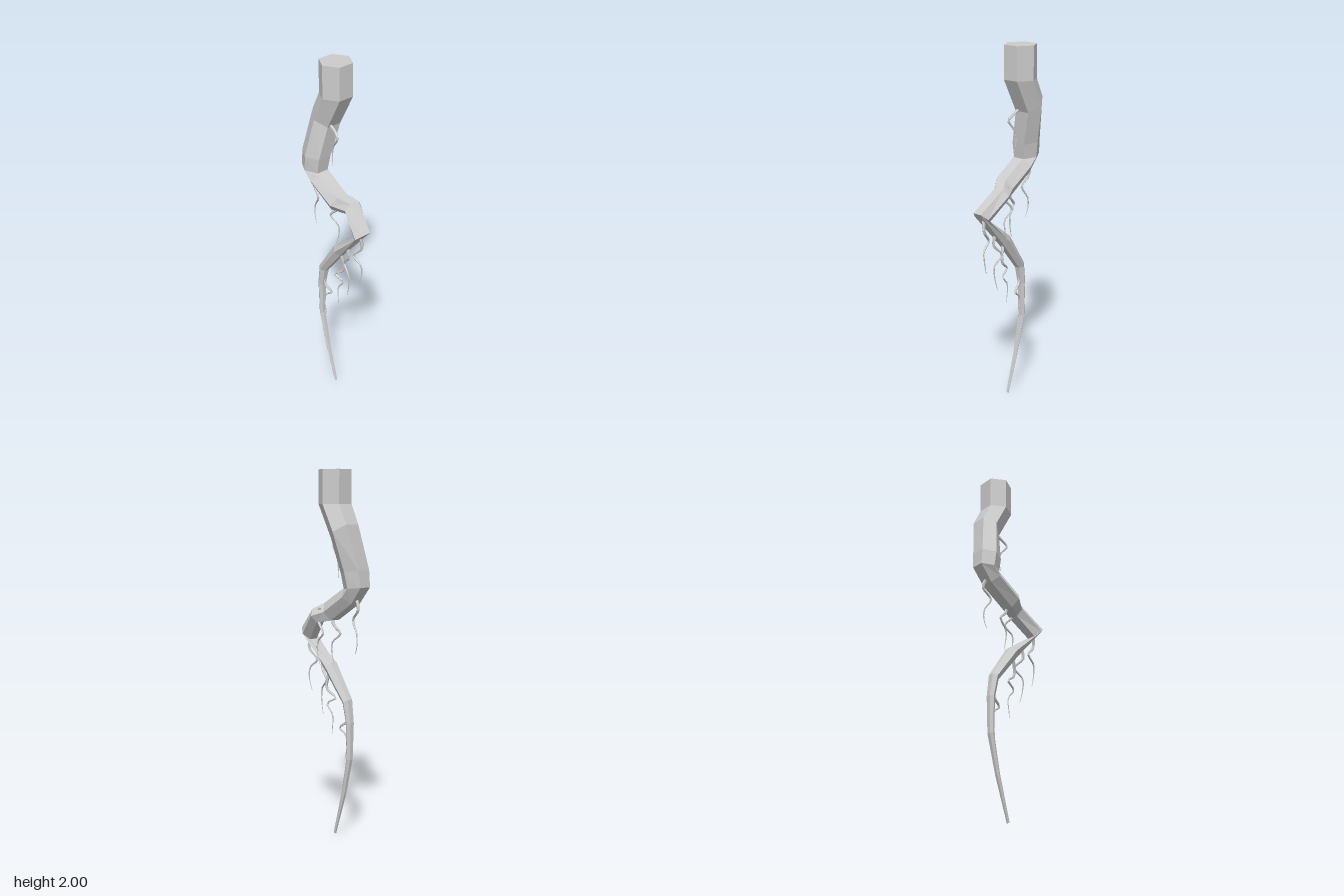
import * as THREE from 'three';

const SIDES = 6;
const material = new THREE.MeshStandardMaterial({ color: 0xcccccc, flatShading: true });

// Hexagonal rings from top to tip: centre x, y, z, half width, then the y, z offset of the front edge
const RINGS = [
  [0.017, 2.0, -0.055, 0.09, 0, 0.078],
  [0.017, 1.82, -0.055, 0.09, 0, 0.078],
  [0.016, 1.68, -0.126, 0.087, -0.037, 0.057],
  [-0.03, 1.47, -0.157, 0.08, -0.01, 0.066],
  [-0.035, 1.383, -0.167, 0.07, -0.006, 0.063],
  [-0.035, 1.335, -0.122, 0.067, 0.036, 0.036],
  [-0.031, 1.245, 0.02, 0.063, 0.046, 0.025],
  [0.007, 1.222, 0.086, 0.055, 0.036, 0.016],
  [-0.03, 1.11, 0.2, 0.05, 0.03, 0.033],
  [-0.028, 0.945, 0.025, 0.043, -0.021, 0.024],
  [-0.03, 0.765, -0.104, 0.032, -0.012, 0.02],
  [-0.03, 0.65, -0.123, 0.025, 0, 0.018],
  [-0.03, 0.45, -0.122, 0.02, 0.003, 0.014],
  [-0.031, 0.24, -0.076, 0.014, 0.004, 0.01],
  [-0.032, 0.003, -0.006, 0.008, 0.003, 0.006],
];

// Hanging rootlets: points of x, y, z
const ROOTLETS = [
  [[-0.01, 1.66, -0.09], [-0.012, 1.63, -0.03], [-0.02, 1.6, -0.004], [-0.012, 1.545, -0.04], [-0.01, 1.49, -0.052], [-0.015, 1.43, -0.045]],
  [[-0.035, 1.34, -0.16], [-0.03, 1.27, -0.183], [-0.04, 1.21, -0.135], [-0.03, 1.14, -0.172], [-0.03, 1.08, -0.175], [-0.035, 1.03, -0.158]],
  [[0.026, 1.268, 0.055], [0.02, 1.2, 0.075], [0.03, 1.13, 0.025], [0.022, 1.08, 0.073], [0.024, 1.02, 0.075], [0.02, 0.95, 0.057]],
  [[-0.02, 1.24, 0.005], [-0.015, 1.18, -0.01], [-0.025, 1.13, -0.053], [-0.012, 1.08, -0.005], [-0.01, 1.02, -0.003], [-0.015, 0.955, -0.02]],
  [[-0.03, 1.1, 0.185], [-0.02, 1.03, 0.19], [-0.035, 0.965, 0.14], [-0.025, 0.92, 0.187], [-0.02, 0.86, 0.19], [-0.025, 0.79, 0.172]],
  [[-0.03, 1.01, 0.085], [-0.035, 0.93, 0.1], [-0.02, 0.865, 0.05], [-0.032, 0.81, 0.098], [-0.03, 0.75, 0.1], [-0.025, 0.67, 0.083]],
  [[-0.03, 0.93, 0.03], [-0.02, 0.82, 0.048], [-0.035, 0.77, -0.008], [-0.02, 0.735, 0.045], [-0.022, 0.68, 0.005], [-0.025, 0.57, 0.01]],
  [[-0.028, 0.74, -0.1], [-0.03, 0.655, -0.1], [-0.018, 0.615, -0.055], [-0.025, 0.58, -0.095], [-0.028, 0.53, -0.105], [-0.025, 0.44, -0.09]],
];

// Skin over the rings, with a cap on each end
function sweepRings(rings) {
  const positions = [];
  const index = [];
  for (const [x, y, z, w, fy, fz] of rings) {
    for (let i = 0; i < SIDES; i++) {
      const a = (i / SIDES) * Math.PI * 2;
      const s = Math.sin(a) / Math.sin(Math.PI / 3);
      positions.push(x + w * Math.cos(a), y + fy * s, z + fz * s);
    }
  }
  const last = (rings.length - 1) * SIDES;
  for (let r = 0; r < last; r += SIDES) {
    for (let i = 0; i < SIDES; i++) {
      const a = r + i, b = r + ((i + 1) % SIDES);
      index.push(a, b, a + SIDES, b, b + SIDES, a + SIDES);
    }
  }
  for (let i = 1; i < SIDES - 1; i++) {
    index.push(0, i + 1, i, last, last + i, last + i + 1);
  }
  const geometry = new THREE.BufferGeometry();
  geometry.setAttribute('position', new THREE.Float32BufferAttribute(positions, 3));
  geometry.setIndex(index);
  geometry.computeVertexNormals();
  return geometry;
}

// Tube along a smooth curve, narrowing to a point
function taperedTube(points, radius) {
  const steps = 18, sides = 5;
  const curve = new THREE.CatmullRomCurve3(points.map((p) => new THREE.Vector3(...p)));
  const geometry = new THREE.TubeGeometry(curve, steps, radius, sides, false);
  const pos = geometry.attributes.position;
  const v = new THREE.Vector3();
  for (let i = 0; i < pos.count; i++) {
    const t = Math.floor(i / (sides + 1)) / steps;
    const centre = curve.getPointAt(t);
    v.fromBufferAttribute(pos, i).sub(centre).multiplyScalar(1 - 0.85 * t).add(centre);
    pos.setXYZ(i, v.x, v.y, v.z);
  }
  geometry.computeVertexNormals();
  return geometry;
}

export function createModel() {
  const group = new THREE.Group();
  group.name = 'hangingRoot';

  // Main root
  const root = new THREE.Mesh(sweepRings(RINGS), material);
  root.name = 'mainRoot';
  group.add(root);

  // Rootlets
  ROOTLETS.forEach((points, i) => {
    const rootlet = new THREE.Mesh(taperedTube(points, 0.01), material);
    rootlet.name = `rootlet${i + 1}`;
    group.add(rootlet);
  });
  return group;
}
